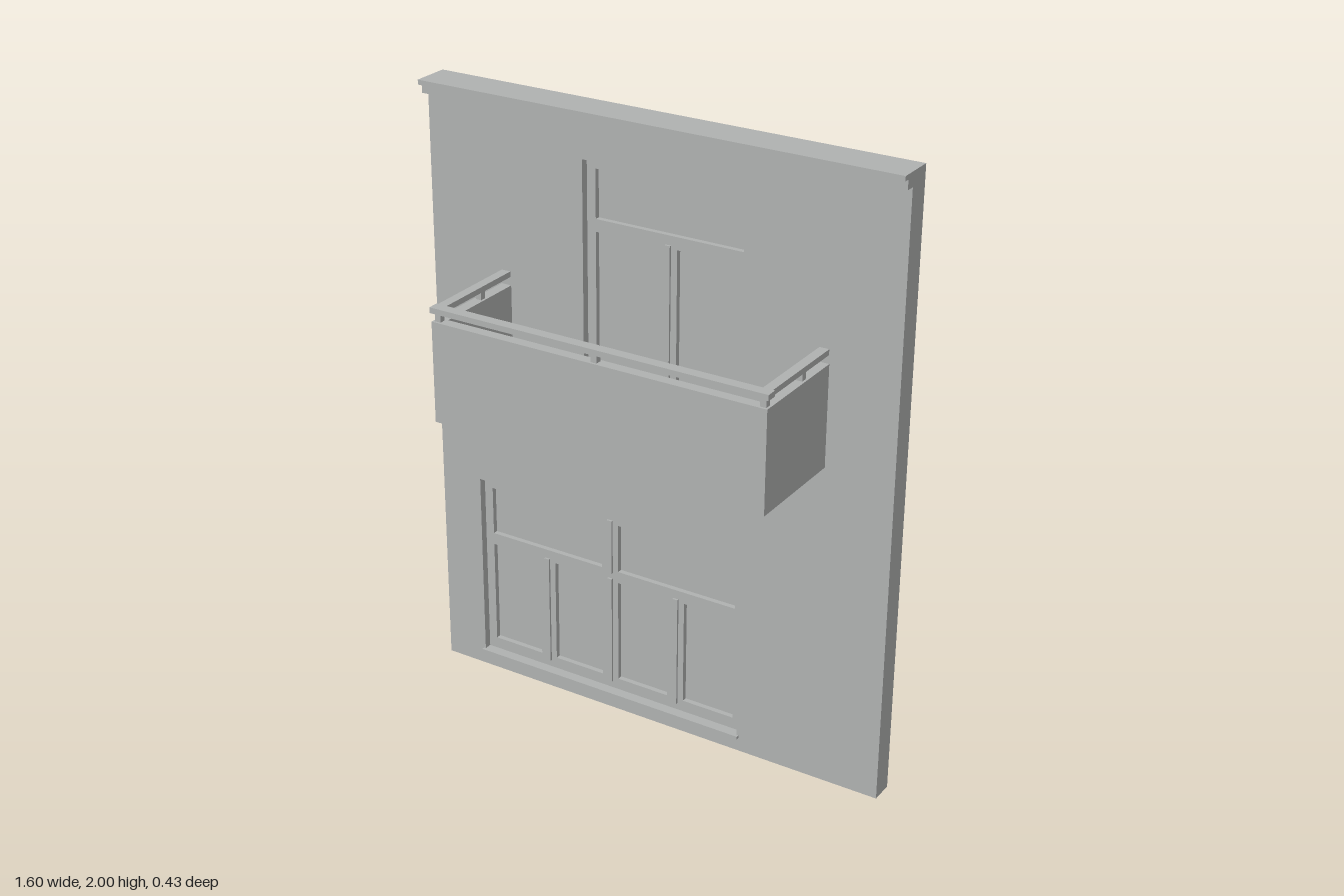
import * as THREE from 'three';

const plaster = new THREE.MeshStandardMaterial({ color: 0xb0b2b1 });
plaster.name = 'grey plaster';

// Rectangles are [x0, x1, y0, y1]
function rectPath(Type, [x0, x1, y0, y1]) {
  const p = new Type();
  p.moveTo(x0, y0);
  p.lineTo(x1, y0);
  p.lineTo(x1, y1);
  p.lineTo(x0, y1);
  p.closePath();
  return p;
}

// Flat slab with rectangular openings between z0 and z1
function slab(name, outer, holes, z0, z1) {
  const shape = rectPath(THREE.Shape, outer);
  holes.forEach((h) => shape.holes.push(rectPath(THREE.Path, h)));
  const geo = new THREE.ExtrudeGeometry(shape, { depth: z1 - z0, bevelEnabled: false });
  geo.translate(0, 0, z0);
  const mesh = new THREE.Mesh(geo, plaster);
  mesh.name = name;
  return mesh;
}

function box(name, x0, x1, y0, y1, z0, z1) {
  const mesh = new THREE.Mesh(new THREE.BoxGeometry(x1 - x0, y1 - y0, z1 - z0), plaster);
  mesh.position.set((x0 + x1) / 2, (y0 + y1) / 2, (z0 + z1) / 2);
  mesh.name = name;
  return mesh;
}

const BACK = -0.215, FRONT = -0.14;
const FRAME = -0.165, GLASS = -0.182, PANEL_BACK = -0.186;

// Recessed frame, pane behind it and raised cover strips
function windowUnit(name, outer, panes, strips) {
  const g = new THREE.Group();
  g.name = name;
  g.add(slab('windowFrame', outer, panes, GLASS, FRAME));
  g.add(box('windowPane', ...outer, PANEL_BACK, GLASS));
  strips.forEach(([x, y0, y1]) =>
    g.add(box('coverStrip', x - 0.009, x + 0.009, y0, y1, FRAME, FRAME + 0.007)));
  return g;
}

function createBalcony() {
  const g = new THREE.Group();
  g.name = 'balcony';
  const L = -0.548, R = 0.577, F = 0.215, T = 0.035;
  g.add(box('balconyFloor', L, R, 1.065, 1.145, FRONT, F));

  // Parapet walls
  g.add(box('frontParapet', L, R, 1.145, 1.39, F - T, F));
  g.add(box('leftParapet', R - T, R, 1.145, 1.39, FRONT, F - T));
  g.add(box('rightParapet', L, L + T, 1.145, 1.39, FRONT, F - T));

  // Handrail
  g.add(box('frontRail', L - 0.004, R + 0.004, 1.417, 1.435, F - 0.033, F + 0.002));
  g.add(box('leftRail', R - T + 0.002, R - 0.002, 1.417, 1.435, FRONT, F - 0.033));
  g.add(box('rightRail', L + 0.002, L + T - 0.002, 1.417, 1.435, FRONT, F - 0.033));

  // Short posts carrying the rail
  const xl = R - T / 2, xr = L + T / 2, zf = F - T / 2;
  const posts = [[xr, zf], [(L + R) / 2, zf], [xl, zf], [xr, -0.005], [xl, -0.005]];
  posts.forEach(([x, z]) =>
    g.add(box('railPost', x - 0.01, x + 0.01, 1.39, 1.417, z - 0.01, z + 0.01)));
  return g;
}

export function createModel() {
  const model = new THREE.Group();
  model.name = 'facadeWithBalcony';

  const upper = [-0.25, 0.31, 1.145, 1.84];
  const lower = [-0.655, 0.31, 0.055, 0.69];
  model.add(slab('wall', [-0.8, 0.8, 0, 2], [upper, lower], BACK, FRONT));

  // Stepped cornice
  model.add(box('corniceLower', -0.8, 0.8, 1.955, 1.985, FRONT, -0.11));
  model.add(box('corniceTop', -0.8, 0.8, 1.985, 2, FRONT, -0.092));

  // Balcony door: transom over two leaves
  model.add(windowUnit('balconyDoor', upper, [
    [-0.22, 0.28, 1.655, 1.81],
    [-0.22, 0.003, 1.18, 1.615],
    [0.06, 0.28, 1.18, 1.615],
  ], [[0.03, 1.16, 1.625]]));

  // Ground floor window: two transoms over four leaves
  const panes = [[-0.625, -0.205, 0.49, 0.655], [-0.145, 0.28, 0.49, 0.655]];
  [[-0.625, -0.443], [-0.385, -0.205], [-0.145, 0.04], [0.098, 0.28]]
    .forEach(([a, b]) => panes.push([a, b, 0.095, 0.45]));
  model.add(windowUnit('groundWindow', lower, panes, [
    [-0.414, 0.08, 0.46], [-0.174, 0.08, 0.46], [0.069, 0.08, 0.46], [-0.174, 0.48, 0.668],
  ]));
  model.add(box('windowSill', -0.662, 0.317, 0.046, 0.056, FRAME, -0.13));

  model.add(createBalcony());
  return model;
}
